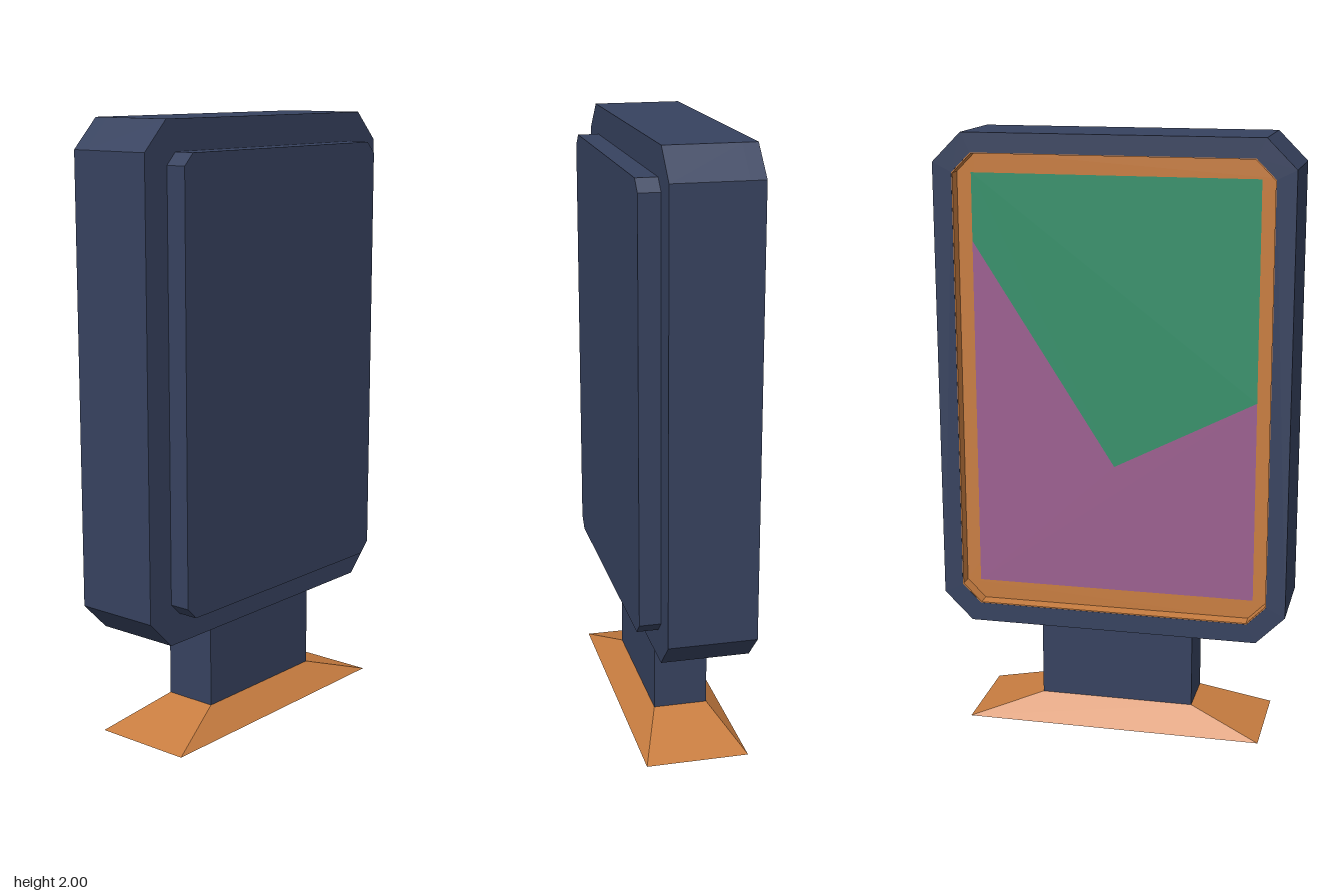
import * as THREE from 'three';

const NAVY = 0x37425f, ORANGE = 0xc87d40, GREEN = 0x35906a, PURPLE = 0x9c6090;
const MID_Y = 1.18;

const paint = (color) => new THREE.MeshStandardMaterial({ color, flatShading: true });

// Corner points of a chamfered rectangle in the (z, y) plane
function chamfered(halfZ, halfY, c) {
  return [
    [halfZ - c, -halfY], [halfZ, -halfY + c], [halfZ, halfY - c], [halfZ - c, halfY],
    [-halfZ + c, halfY], [-halfZ, halfY - c], [-halfZ, -halfY + c], [-halfZ + c, -halfY],
  ].map(([z, y]) => new THREE.Vector2(z, y + MID_Y));
}

export function createModel() {
  const model = new THREE.Group();
  model.name = 'advertisingDisplay';

  const add = (name, geometry, color) => {
    const mesh = new THREE.Mesh(geometry, paint(color));
    mesh.name = name;
    model.add(mesh);
    return mesh;
  };

  // Upright slab between x0 and x1, with an optional hole
  const slab = (name, outline, x0, x1, color, hole) => {
    const shape = new THREE.Shape(outline);
    if (hole) shape.holes.push(new THREE.Path(hole));
    const g = new THREE.ExtrudeGeometry(shape, { depth: x1 - x0, bevelEnabled: false });
    g.rotateY(-Math.PI / 2).translate(x1, 0, 0);
    return add(name, g, color);
  };

  // Flat picture area facing -x
  const picture = (name, points, color) => {
    const shape = new THREE.Shape(points.map(([z, y]) => new THREE.Vector2(z, y)));
    const g = new THREE.ShapeGeometry(shape).rotateY(-Math.PI / 2).translate(-0.134, 0, 0);
    add(name, g, color);
  };

  // Housing: solid core, rim around the recess, raised cover on the +x side
  const outer = chamfered(0.58, 0.82, 0.095);
  const opening = chamfered(0.517, 0.757, 0.063);
  slab('housingCore', outer, -0.13, 0.11, NAVY);
  slab('housingRim', outer, -0.18, -0.13, NAVY, opening);
  slab('serviceCover', chamfered(0.483, 0.7225, 0.038), 0.11, 0.18, NAVY);

  // Recess lining
  slab('recessLining', opening, -0.179, -0.13, ORANGE, chamfered(0.514, 0.754, 0.062));
  slab('recessFloor', opening, -0.132, -0.13, ORANGE);

  // Two-tone poster
  const w = 0.467, low = 0.49, high = 1.87;
  const valley = [[w, 1.16], [0, 0.92], [-w, 1.65]];
  picture('posterLower', [[-w, low], [w, low], ...valley], PURPLE);
  picture('posterUpper', [[-w, high], ...[...valley].reverse(), [w, high]], GREEN);

  // Post
  add('post', new THREE.BoxGeometry(0.18, 0.29, 0.52).translate(-0.01, 0.225, 0), NAVY);

  // Base: a box narrowed at the top to meet the post
  const base = new THREE.BoxGeometry(0.34, 0.08, 1);
  const p = base.attributes.position;
  for (let i = 0; i < p.count; i++) {
    if (p.getY(i) > 0) {
      p.setX(i, Math.sign(p.getX(i)) * 0.09);
      p.setZ(i, Math.sign(p.getZ(i)) * 0.26);
    }
  }
  base.computeVertexNormals();
  add('base', base.translate(-0.01, 0.04, 0), ORANGE);

  return model;
}
